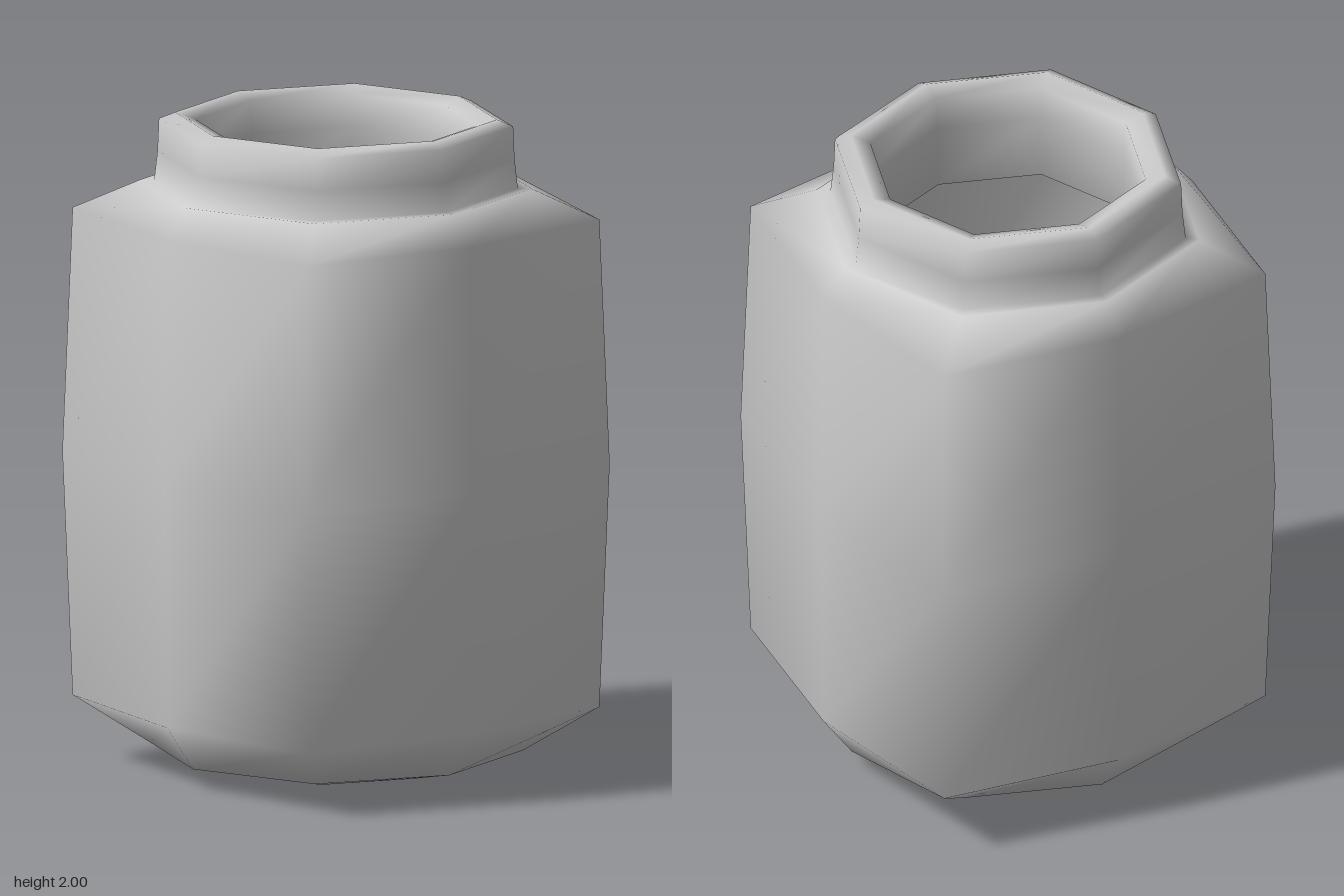
import * as THREE from 'three';

const SIDES = 8;

// Skin eight-sided rings [y, reach along the axes, corner offset] between two pole points.
function ringSkin(rings, yStart, yEnd) {
  const pos = [], index = [];
  for (const [y, axis, corner] of rings) {
    for (let j = 0; j < SIDES; j++) {
      const t = (j / SIDES) * Math.PI * 2;
      const r = j % 2 ? corner * Math.SQRT2 : axis;
      pos.push(Math.sin(t) * r, y, Math.cos(t) * r);
    }
  }
  const start = rings.length * SIDES, end = start + 1;
  pos.push(0, yStart, 0, 0, yEnd, 0);
  const last = (rings.length - 1) * SIDES;
  for (let j = 0; j < SIDES; j++) {
    const k = (j + 1) % SIDES;
    index.push(start, k, j);
    for (let b = 0; b < last; b += SIDES) {
      const c = b + SIDES;
      index.push(b + j, b + k, c + k, b + j, c + k, c + j);
    }
    index.push(last + j, last + k, end);
  }
  const g = new THREE.BufferGeometry();
  g.setAttribute('position', new THREE.Float32BufferAttribute(pos, 3));
  g.setIndex(index);
  g.computeVertexNormals();
  return g;
}

export function createModel() {
  const group = new THREE.Group();
  group.name = 'jar';
  const rings = [
    // underside and outer wall
    [0.02, 0.37, 0.27],
    [0.06, 0.55, 0.40],
    [0.20, 0.65, 0.565],
    [0.95, 0.66, 0.587],
    [1.70, 0.65, 0.565],
    // shoulder and neck
    [1.79, 0.575, 0.42],
    [1.79, 0.535, 0.39],
    [1.88, 0.525, 0.383],
    [1.98, 0.52, 0.38],
    // rim
    [2.00, 0.475, 0.345],
    [1.98, 0.415, 0.302],
    // inside of the neck
    [1.88, 0.41, 0.298],
    [1.68, 0.405, 0.295],
    // hollow inside of the body
    [1.675, 0.48, 0.35],
    [1.62, 0.54, 0.47],
    [0.95, 0.55, 0.485],
    [0.27, 0.54, 0.47],
    [0.16, 0.47, 0.34],
    [0.13, 0.33, 0.24],
  ];
  const jar = new THREE.Mesh(
    ringSkin(rings, 0, 0.115),
    new THREE.MeshStandardMaterial({ color: 0xcccccc })
  );
  jar.name = 'jarBody';
  group.add(jar);
  return group;
}
